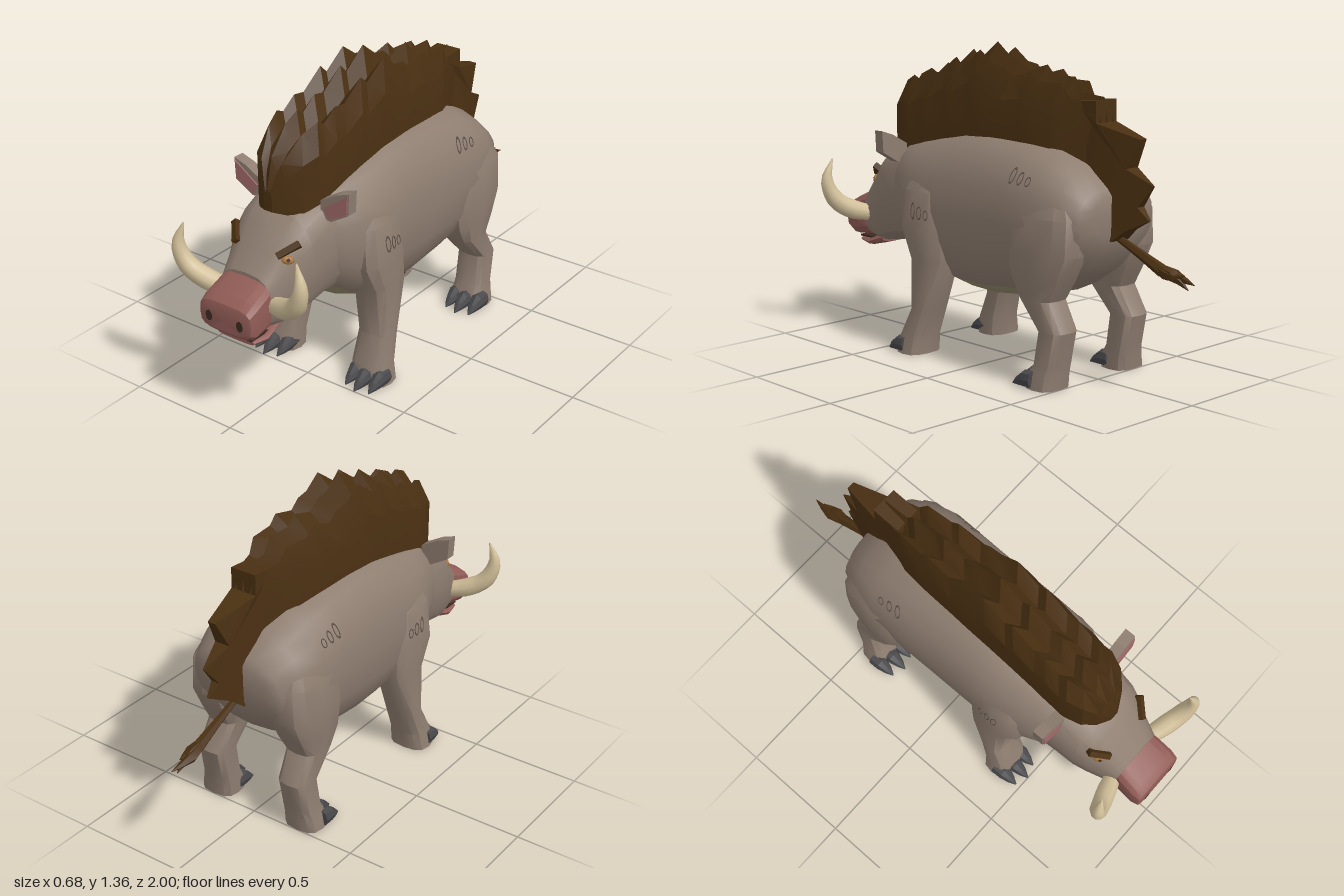
import * as THREE from 'three';
import { toCreasedNormals } from 'three/addons/utils/BufferGeometryUtils.js';

const colours = {
  hide: 0x8e7d70, mane: 0x4a3012, snout: 0x915c56, tusk: 0xd2c09a, claw: 0x48484b,
  belly: 0x958a6c, innerEar: 0xa06a68, dark: 0x3a2a22, scar: 0x62544a, eye: 0xa8743c,
};
const mats = {};
for (const [name, hex] of Object.entries(colours)) {
  mats[name] = new THREE.MeshStandardMaterial({ color: hex });
  mats[name].name = name;
}
const V = (x, y, z) => new THREE.Vector3(x, y, z);

// Closed skin over rings of points; isAccent(ring, segment) picks faces for the second material
function loft(rings, crease = 0.6, isAccent = () => false) {
  const n = rings[0].length, pts = rings.flat(), main = [], accent = [];
  for (let i = 0; i < rings.length - 1; i++) for (let j = 0; j < n; j++) {
    const a = i * n + j, b = i * n + (j + 1) % n;
    (isAccent(i, j) ? accent : main).push(a, b, b + n, a, b + n, a + n);
  }
  [0, rings.length - 1].forEach((r, end) => {
    const c = pts.length, mid = V(0, 0, 0);
    rings[r].forEach(p => mid.addScaledVector(p, 1 / n));
    pts.push(mid);
    for (let j = 0; j < n; j++) {
      const a = r * n + j, b = r * n + (j + 1) % n;
      main.push(c, end ? a : b, end ? b : a);
    }
  });
  const index = [...main, ...accent];
  let volume = 0;
  for (let k = 0; k < index.length; k += 3)
    volume += pts[index[k]].dot(V(0, 0, 0).crossVectors(pts[index[k + 1]], pts[index[k + 2]]));
  if (volume < 0) for (let k = 0; k < index.length; k += 3) [index[k], index[k + 1]] = [index[k + 1], index[k]];
  const g = new THREE.BufferGeometry().setFromPoints(pts);
  g.setIndex(index);
  if (accent.length) {
    g.addGroup(0, main.length, 0);
    g.addGroup(main.length, accent.length, 1);
  }
  return toCreasedNormals(g, crease);
}

// Superellipse outline, angle 0 at +u
function outline(n, power, place) {
  return Array.from({ length: n }, (_, j) => {
    const t = (j / n) * Math.PI * 2, c = Math.cos(t), s = Math.sin(t);
    const f = v => Math.sign(v) * Math.pow(Math.abs(v), 2 / power);
    return place(f(c), f(s));
  });
}
// Rows of [z, top, bottom, halfWidth]
const alongZ = (rows, n, power, cx = 0) => rows.map(([z, top, bot, w]) =>
  outline(n, power, (u, v) => V(cx + u * w, (top + bot) / 2 + v * (top - bot) / 2, z)));
// Rows of [y, zFront, zBack, xInner, xOuter]
const alongY = (rows, n, power) => rows.map(([y, zf, zb, xi, xo]) =>
  outline(n, power, (u, v) => V((xi + xo) / 2 + u * (xo - xi) / 2, y, (zf + zb) / 2 + v * (zf - zb) / 2)));
// Tapered limb swept along a curve
function sweep(points, radii, steps, sides) {
  const curve = new THREE.CatmullRomCurve3(points), f = curve.computeFrenetFrames(steps);
  return loft(Array.from({ length: steps + 1 }, (_, i) => {
    const t = i / steps, k = Math.min(Math.floor(t * (radii.length - 1)), radii.length - 2);
    const r = THREE.MathUtils.lerp(radii[k], radii[k + 1], t * (radii.length - 1) - k);
    const p = curve.getPointAt(t);
    return outline(sides, 2, (u, v) => p.clone().addScaledVector(f.normals[i], u * r).addScaledVector(f.binormals[i], v * r));
  }), 1);
}
// Flat outline in (z, y) given thickness in x
function plateZY(points, depth) {
  const shape = new THREE.Shape(points.map(p => new THREE.Vector2(...p)));
  return new THREE.ExtrudeGeometry(shape, { depth, bevelEnabled: false }).rotateY(-Math.PI / 2).translate(depth / 2, 0, 0);
}
function mirrored(geo) {
  const g = geo.index ? geo.toNonIndexed() : geo.clone();
  for (const { array, itemSize: s } of Object.values(g.attributes)) {
    for (let t = 0; t < array.length; t += 3 * s) for (let k = 0; k < s; k++)
      [array[t + k], array[t + 2 * s + k]] = [array[t + 2 * s + k], array[t + k]];
  }
  return g.scale(-1, 1, 1);
}

export function createModel() {
  const model = new THREE.Group();
  model.name = 'boar';
  const add = (name, geo, mat) => {
    const m = new THREE.Mesh(geo, mat);
    m.name = name;
    model.add(m);
    return m;
  };
  const pair = (name, geo, mat) => {
    add(name + 'Right', mirrored(geo), mat);
    return add(name + 'Left', geo, mat);
  };

  // Barrel body with a pale belly
  const body = add('body', loft(alongZ([
    [-0.61, 0.79, 0.62, 0.16], [-0.59, 0.82, 0.55, 0.22], [-0.5, 0.9, 0.44, 0.265], [-0.38, 0.96, 0.36, 0.29],
    [-0.2, 0.99, 0.31, 0.285], [0, 1.005, 0.285, 0.28], [0.15, 1.0, 0.29, 0.28], [0.3, 0.97, 0.315, 0.28],
    [0.42, 0.945, 0.37, 0.26], [0.52, 0.92, 0.45, 0.23], [0.58, 0.89, 0.5, 0.19]], 20, 2.4),
  0.8, (i, j) => i >= 3 && i <= 8 && j >= 13 && j <= 16), [mats.hide, mats.belly]);

  // Head, snout and jaw
  const head = add('head', loft(alongZ([
    [0.45, 0.92, 0.46, 0.22], [0.58, 0.895, 0.445, 0.205], [0.68, 0.855, 0.425, 0.195], [0.74, 0.805, 0.41, 0.175],
    [0.8, 0.735, 0.405, 0.15], [0.87, 0.655, 0.42, 0.128]], 16, 2.9), 0.5), mats.hide);
  add('snout', loft(alongZ([[0.84, 0.645, 0.44, 0.115], [0.87, 0.64, 0.425, 0.13], [0.96, 0.6, 0.415, 0.135],
    [0.995, 0.57, 0.44, 0.13], [1.0, 0.555, 0.45, 0.115]], 16, 3.6), 0.4), mats.snout);
  add('lowerLip', loft(alongZ([[0.78, 0.45, 0.4, 0.1], [0.87, 0.415, 0.375, 0.11], [0.94, 0.41, 0.385, 0.095]], 12, 3), 0.4), mats.snout);
  add('mouthLine', new THREE.BoxGeometry(0.18, 0.008, 0.12).translate(0, 0.413, 0.89), mats.dark);
  pair('nostril', new THREE.CircleGeometry(0.022, 8).scale(0.8, 1.1, 1).translate(0.078, 0.5, 1.003), mats.dark);

  // Tusks
  pair('tusk', sweep([V(0.11, 0.535, 0.84), V(0.2, 0.56, 0.87), V(0.275, 0.61, 0.895), V(0.31, 0.7, 0.91), V(0.285, 0.8, 0.9)],
    [0.036, 0.044, 0.04, 0.028, 0.003], 14, 10), mats.tusk);

  // Ears: hide shell with an inner plate
  const ear = pts => new THREE.Shape(pts.map(p => new THREE.Vector2(...p)));
  pair('ear', new THREE.ExtrudeGeometry(ear([[0.15, 0.82], [0.2, 0.815], [0.285, 0.865], [0.29, 0.96], [0.23, 0.94], [0.15, 0.895]]),
    { depth: 0.05, bevelEnabled: false }).translate(0, 0, 0.53), mats.hide);
  pair('innerEar', new THREE.ExtrudeGeometry(ear([[0.17, 0.87], [0.19, 0.825], [0.28, 0.868], [0.284, 0.95]]),
    { depth: 0.006, bevelEnabled: false }).translate(0, 0, 0.58), mats.innerEar);

  // Legs
  const frontLeg = pair('frontLeg', loft(alongY([
    [0.84, 0.39, 0.25, 0.12, 0.22], [0.72, 0.44, 0.19, 0.1, 0.285], [0.55, 0.45, 0.165, 0.1, 0.305], [0.42, 0.38, 0.17, 0.12, 0.3],
    [0.2, 0.36, 0.245, 0.145, 0.305], [0.08, 0.42, 0.28, 0.15, 0.32], [0, 0.43, 0.285, 0.15, 0.335]], 12, 2.8), 0.6), mats.hide);
  pair('hindLeg', loft(alongY([
    [0.82, -0.3, -0.5, 0.12, 0.23], [0.7, -0.23, -0.575, 0.1, 0.29], [0.55, -0.215, -0.575, 0.1, 0.3], [0.44, -0.24, -0.52, 0.11, 0.295],
    [0.36, -0.29, -0.475, 0.13, 0.285], [0.24, -0.405, -0.54, 0.14, 0.285], [0.1, -0.385, -0.51, 0.14, 0.29],
    [0.06, -0.36, -0.505, 0.14, 0.3], [0, -0.355, -0.5, 0.14, 0.31]], 12, 3), 0.6), mats.hide);
  [['frontClaw', 0.5, 0.185], ['hindClaw', -0.275, 0.17]].forEach(([name, tip, x]) => {
    for (let i = 0; i < 3; i++) {
      const z = tip - (i === 1 ? 0 : 0.02), cx = x + i * 0.06;
      pair(name + (i + 1), loft(alongZ([[z - 0.12, 0.075, 0, 0.034], [z - 0.07, 0.072, 0, 0.033],
        [z - 0.03, 0.04, 0, 0.02], [z, 0.006, 0, 0.003]], 8, 2.2, cx), 0.5), mats.claw);
    }
  });

  // Mane: three jagged crests rising from the back; rows of [z, base, top, halfWidth]
  const crest = [
    [0.72, 0.86, 0.96, 0.02], [0.69, 0.85, 1.08, 0.07], [0.64, 0.85, 1.19, 0.115], [0.57, 0.87, 1.22, 0.14], [0.53, 0.87, 1.2, 0.142],
    [0.46, 0.88, 1.25, 0.143], [0.4, 0.9, 1.24, 0.142], [0.29, 0.92, 1.32, 0.142], [0.25, 0.93, 1.28, 0.142], [0.14, 0.94, 1.36, 0.142],
    [0.06, 0.95, 1.3, 0.14], [0.0, 0.95, 1.29, 0.138], [-0.05, 0.95, 1.25, 0.135], [-0.16, 0.94, 1.28, 0.13], [-0.2, 0.94, 1.24, 0.128],
    [-0.32, 0.92, 1.24, 0.115], [-0.36, 0.9, 1.18, 0.1], [-0.48, 0.84, 1.17, 0.06], [-0.5, 0.82, 1.08, 0.05]];
  const section = [[-1, 0], [-1, 0.6], [-0.72, 0.93], [-0.36, 0.72], [0, 1], [0.36, 0.72], [0.72, 0.93], [1, 0.6], [1, 0]];
  add('mane', loft(crest.map(([z, base, top, w]) => section.map(([u, v]) =>
    V(u * w, base + v * (top - base), z - (v > 0.8 && z < 0.65 ? 0.04 : 0)))), 0.35), mats.mane);

  // Rear spikes, thinned towards their tips
  const spikes = plateZY([[-0.4, 1.15], [-0.53, 1.16], [-0.53, 1.07], [-0.73, 1.02], [-0.67, 0.9], [-0.79, 0.84], [-0.72, 0.75],
    [-0.77, 0.7], [-0.67, 0.65], [-0.61, 0.6], [-0.57, 0.66], [-0.56, 0.8], [-0.46, 0.87], [-0.38, 0.92]], 0.12);
  const sp = spikes.attributes.position;
  for (let i = 0; i < sp.count; i++)
    sp.setX(i, sp.getX(i) * THREE.MathUtils.clamp((sp.getZ(i) + 0.79) / 0.2, 0.04, 1));
  add('rearMane', toCreasedNormals(spikes, 0.3), mats.mane);

  // Tail with a ragged tuft
  add('tail', sweep([V(0, 0.62, -0.58), V(0, 0.57, -0.7), V(0, 0.51, -0.84)], [0.014, 0.018, 0.026], 5, 6), mats.mane);
  [[-1, 0.48, 0.018], [-0.97, 0.455, 0.02], [-0.95, 0.51, 0.016]].forEach(([z, y, r], i) =>
    add('tailTuft' + (i + 1), sweep([V(0, 0.525, -0.79), V((i - 1) * 0.012, 0.497, -0.9), V(0, y, z)], [0.016, r + 0.008, 0.002], 4, 5), mats.mane));

  // Details laid on the skin where a ray meets it
  const lay = (geo, mesh, from, dir) => {
    const hit = new THREE.Raycaster(from, dir).intersectObject(mesh)[0];
    if (!hit) return geo.translate(from.x, from.y, from.z);
    const turn = new THREE.Quaternion().setFromUnitVectors(V(0, 0, 1), hit.face.normal);
    return geo.applyQuaternion(turn).translate(hit.point.x, hit.point.y, hit.point.z);
  };
  const back = V(0, 0, -1), side = V(-1, 0, 0);
  pair('eye', lay(new THREE.SphereGeometry(0.024, 10, 6).scale(1.1, 0.7, 0.4), head, V(0.137, 0.71, 2), back), mats.eye);
  pair('pupil', lay(new THREE.CircleGeometry(0.008, 8).translate(0, 0, 0.011), head, V(0.137, 0.71, 2), back), mats.dark);
  pair('brow', lay(new THREE.BoxGeometry(0.1, 0.026, 0.04).rotateZ(0.75), head, V(0.13, 0.745, 2), back), mats.mane);
  for (let i = 0; i < 3; i++) {
    const ring = () => new THREE.TorusGeometry(0.02, 0.003, 4, 10).scale(0.65, 1.7 - i * 0.35, 1).rotateZ(0.2);
    pair('shoulderScar' + (i + 1), lay(ring(), frontLeg, V(2, 0.635 - i * 0.006, 0.325 - i * 0.038), side), mats.scar);
    pair('rumpScar' + (i + 1), lay(ring(), body, V(2, 0.85 - i * 0.008, -0.25 - i * 0.045), side), mats.scar);
  }
  return model;
}
